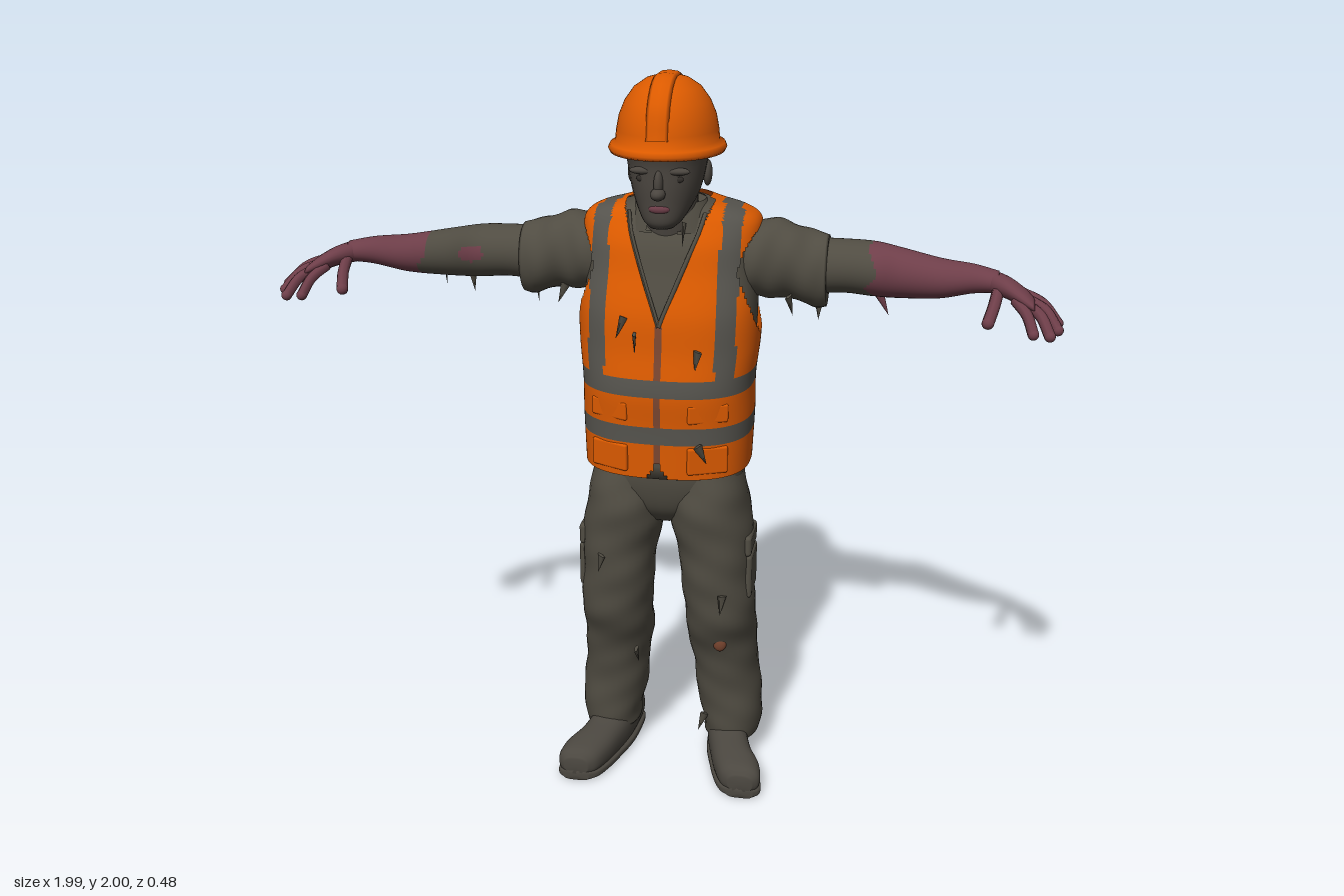
import * as THREE from 'three';
import { mergeGeometries } from 'three/addons/utils/BufferGeometryUtils.js';
import { RoundedBoxGeometry } from 'three/addons/geometries/RoundedBoxGeometry.js';

const V = (x, y, z) => new THREE.Vector3(x, y, z);
const colour = (name, color) => new THREE.MeshStandardMaterial({ name, color, side: THREE.DoubleSide });

// Smooth skin through sections [along, c1, c2, r1, r2].
// Axis y: c1 = x, c2 = z. Axis x: c1 = z, c2 = y. Axis z: c1 = y, c2 = x.
// paint(point) gives a material index for each quad, or -1 to leave it out.
function loft(sections, { axis = 'y', n = 32, rows = 32, power = 2, caps = true, bump, paint } = {}) {
  const centre = new THREE.CatmullRomCurve3(sections.map(s => V(s[0], s[1], s[2])), false, 'catmullrom');
  const radius = new THREE.CatmullRomCurve3(sections.map(s => V(s[3], s[4], 0)), false, 'catmullrom');
  const place = { y: (a, u, v) => V(u, a, v), x: (a, u, v) => V(a, v, u), z: (a, u, v) => V(v, u, a) }[axis];
  const pts = [], faces = [];
  for (let i = 0; i <= rows; i++) {
    const c = centre.getPoint(i / rows), r = radius.getPoint(i / rows);
    for (let j = 0; j < n; j++) {
      const t = (j / n) * Math.PI * 2, co = Math.cos(t), si = Math.sin(t);
      const k = (bump ? bump(c.x, t) : 1) / Math.pow(Math.abs(co) ** power + Math.abs(si) ** power, 1 / power);
      pts.push(place(c.x, c.y + r.x * k * co, c.z + r.y * k * si));
    }
  }
  for (let i = 0; i < rows; i++) for (let j = 0; j < n; j++) {
    const a = i * n + j, b = i * n + (j + 1) % n, c = a + n, d = b + n;
    const m = paint ? paint(pts[a].clone().add(pts[b]).add(pts[c]).add(pts[d]).multiplyScalar(0.25)) : 0;
    if (m >= 0) (faces[m] ??= []).push(a, c, b, b, c, d);
  }
  if (caps) for (const [i, flip] of [[0, 0], [rows, 1]]) {
    const c = centre.getPoint(i / rows), p = pts.push(place(c.x, c.y, c.z)) - 1;
    for (let j = 0; j < n; j++) {
      const a = i * n + j, b = i * n + (j + 1) % n;
      const m = flip ? faces.length - 1 : 0;
      faces[m].push(p, flip ? b : a, flip ? a : b);
    }
  }
  const g = new THREE.BufferGeometry().setFromPoints(pts);
  g.setIndex(faces.flat());
  let start = 0;
  faces.forEach((f, m) => { g.addGroup(start, f.length, m); start += f.length; });
  g.computeVertexNormals();
  return g;
}

// Mirror an indexed geometry across x and keep its faces turned outward.
function mirror(g) {
  g.scale(-1, 1, 1);
  const ix = g.index;
  for (let i = 0; i < ix.count; i += 3) {
    const b = ix.getX(i + 1);
    ix.setX(i + 1, ix.getX(i + 2));
    ix.setX(i + 2, b);
  }
  g.computeVertexNormals();
  return g;
}

const ball = (x, y, z, rx, ry, rz) => new THREE.SphereGeometry(1, 16, 12).scale(rx, ry, rz).translate(x, y, z);
const tube = (points, r) => new THREE.TubeGeometry(new THREE.CatmullRomCurve3(points), 16, r, 8);
const finger = (points, r) => {
  const tip = points[points.length - 1];
  return mergeGeometries([tube(points, r), ball(tip.x, tip.y, tip.z, r, r, r)]);
};

export function createModel() {
  const model = new THREE.Group();
  model.name = 'worker';
  const orange = colour('safetyOrange', 0xdb5a00), tape = colour('greyTape', 0x55534d);
  const cloth = colour('workCloth', 0x504c42), skin = colour('greySkin', 0x4a453f);
  const flesh = colour('rawFlesh', 0x6e3e49), boot = colour('bootLeather', 0x4b4740);
  const trim = colour('rustyTrim', 0x7a4630), dark = colour('darkSocket', 0x332f2b);
  const add = (name, geo, mat) => {
    const mesh = new THREE.Mesh(geo, mat);
    mesh.name = name;
    model.add(mesh);
  };

  // Torso: shirt inside, open vest outside
  const torso = [[0.965, 0, -0.03, 0.225, 0.187], [1.1, 0, -0.035, 0.23, 0.192], [1.2, 0, -0.035, 0.23, 0.196],
    [1.3, 0, -0.045, 0.24, 0.188], [1.4, 0, -0.055, 0.243, 0.184], [1.5, 0, -0.075, 0.238, 0.168],
    [1.57, 0, -0.08, 0.236, 0.15], [1.62, 0, -0.085, 0.232, 0.125], [1.645, 0, -0.085, 0.2, 0.108],
    [1.662, 0, -0.085, 0.14, 0.096], [1.675, 0, -0.085, 0.1, 0.085]];
  add('shirt', loft(torso.map(([y, x, z, a, b]) => [y - 0.006, x, z, a - 0.013, b - 0.013]), { n: 48, rows: 40, power: 2.6 }), cloth);
  const vestPaint = ({ x, y, z }) => {
    const ax = Math.abs(x), front = z > -0.06;
    if (front && y > 1.38 && ax < (y - 1.38) * 0.4) return -1;
    if (front && y < 1.01 && ax < (1.01 - y) * 0.6) return -1;
    if (ax > 0.15 && ((z + 0.07) / 0.12) ** 2 + ((y - 1.465) / 0.14) ** 2 < 1) return -1;
    if ((y > 1.19 && y < 1.24) || (y > 1.06 && y < 1.11)) return 1;
    const inner = front ? 0.145 : 0.118 + 0.035 * (y - 1.24);
    if (y > 1.24 && ax > inner && ax < inner + 0.05) return 1;
    return front && y < 1.38 && ax < 0.009 ? 2 : 0;
  };
  add('vest', loft(torso, { n: 160, rows: 130, power: 2.6, caps: false, paint: vestPaint }), [orange, tape, trim]);

  // Trouser seat
  add('trouserSeat', loft([[0.8, 0, -0.02, 0.07, 0.08], [0.85, 0, -0.02, 0.15, 0.118],
    [0.92, 0, -0.025, 0.205, 0.142], [1.0, 0, -0.03, 0.205, 0.15]], { power: 2.4, rows: 16 }), cloth);

  // Head and neck
  add('neck', loft([[1.55, 0, -0.05, 0.085, 0.085], [1.65, 0, -0.028, 0.075, 0.078], [1.74, 0, -0.02, 0.075, 0.08]]), skin);
  add('head', loft([[1.625, 0, 0.08, 0.03, 0.03], [1.645, 0, 0.064, 0.052, 0.058], [1.69, 0, 0.022, 0.078, 0.103],
    [1.73, 0, 0.008, 0.091, 0.119], [1.78, 0, 0, 0.101, 0.127], [1.83, 0, 0, 0.108, 0.133], [1.88, 0, 0, 0.09, 0.11]],
  { power: 2.1 }), skin);
  add('nose', mergeGeometries([ball(0, 1.718, 0.134, 0.019, 0.016, 0.024), ball(0, 1.742, 0.126, 0.012, 0.034, 0.018)]), skin);
  add('mouth', ball(0, 1.678, 0.116, 0.028, 0.013, 0.012), flesh);
  add('shirtCollar', loft([[1.6, 0, -0.06, 0.13, 0.115], [1.64, 0, -0.06, 0.108, 0.102], [1.672, 0, -0.06, 0.09, 0.088]],
    { n: 48, rows: 12, caps: false, paint: p => (p.z > 0 && Math.abs(p.x) < 0.04 ? -1 : 0) }), cloth);

  // Hard hat
  const hat = [[0.13, 1.812], [0.168, 1.805], [0.174, 1.815], [0.168, 1.826], [0.153, 1.834], [0.15, 1.86], [0.142, 1.895],
    [0.125, 1.93], [0.098, 1.962], [0.062, 1.983], [0.03, 1.991], [0, 1.993]].map(p => new THREE.Vector2(...p));
  add('hardHat', new THREE.LatheGeometry(hat, 48).scale(0.86, 1, 1), orange);
  const ridge = [[1.85, 0.147], [1.92, 0.128], [1.965, 0.09], [1.988, 0.04], [1.99, 0], [1.988, -0.04],
    [1.965, -0.09], [1.92, -0.128], [1.85, -0.147]].map(([y, z]) => V(0, y, z));
  add('hatRidge', tube(ridge, 0.009).scale(3.2, 1, 1), orange);

  for (const [side, s] of [['left', 1], ['right', -1]]) {
    const put = (name, geo, mat) => add(side + name, s < 0 ? mirror(geo) : geo, mat);

    // Face details
    put('Ear', ball(0.098, 1.745, -0.03, 0.012, 0.034, 0.02), skin);
    put('Brow', ball(0.043, 1.772, 0.11, 0.034, 0.01, 0.014), skin);
    put('EyeSocket', ball(0.04, 1.752, 0.107, 0.02, 0.01, 0.007), dark);

    // Vest edging and pockets
    put('NeckTrim', tube([V(0, 1.375, 0.133), V(0.05, 1.505, 0.092), V(0.087, 1.6, 0.047), V(0.1, 1.648, 0.01)], 0.006), cloth);
    for (const [name, y, h, d] of [['PocketFlap', 1.148, 0.05, 0.016], ['Pocket', 1.018, 0.075, 0.018]])
      add(side + name, new RoundedBoxGeometry(0.11, h, d, 2, 0.006).rotateY(s * 0.41).translate(s * 0.13, y, 0.131), orange);

    // Sleeve, arm and hand
    const fold = (a, t) => 1 + 0.025 * Math.sin(a * 60 + 2 * t) + 0.015 * Math.sin(a * 90 - 3 * t);
    put('Sleeve', loft([[0.14, -0.08, 1.5, 0.08, 0.08], [0.2, -0.08, 1.51, 0.092, 0.095], [0.25, -0.09, 1.515, 0.095, 0.105],
      [0.31, -0.1, 1.508, 0.09, 0.1], [0.37, -0.1, 1.49, 0.085, 0.1], [0.41, -0.1, 1.484, 0.08, 0.094]],
    { axis: 'x', bump: fold }), cloth);
    const edge = s > 0 ? 0.525 : 0.66;
    const armPaint = ({ x, y, z }) => {
      const wound = s < 0 && z > -0.09 && ((x - 0.54) / 0.03) ** 2 + ((y - 1.505) / 0.022) ** 2 < 1;
      return wound || x > edge + 0.015 * Math.sin(60 * y + 30 * z) ? 1 : 0;
    };
    put('Arm', loft([[0.35, -0.1, 1.495, 0.075, 0.075], [0.45, -0.1, 1.5, 0.075, 0.07], [0.53, -0.095, 1.497, 0.076, 0.071],
      [0.6, -0.055, 1.5, 0.073, 0.064], [0.7, 0.005, 1.507, 0.06, 0.05], [0.78, 0.05, 1.522, 0.045, 0.036],
      [0.84, 0.08, 1.525, 0.038, 0.026]],
    { axis: 'x', n: 48, rows: 60, paint: armPaint }), [cloth, flesh]);
    put('Palm', loft([[0.81, 0.065, 1.525, 0.035, 0.028], [0.86, 0.1, 1.518, 0.05, 0.026], [0.9, 0.127, 1.502, 0.052, 0.022],
      [0.925, 0.145, 1.49, 0.045, 0.014]], { axis: 'x', n: 20, rows: 12 }), flesh);
    [[V(0.89, 1.507, 0.088), V(0.945, 1.49, 0.125), V(0.983, 1.452, 0.163)],
      [V(0.9, 1.5, 0.12), V(0.95, 1.482, 0.155), V(0.983, 1.442, 0.19)],
      [V(0.9, 1.495, 0.145), V(0.94, 1.475, 0.19), V(0.963, 1.437, 0.228)],
      [V(0.88, 1.5, 0.15), V(0.908, 1.475, 0.19), V(0.925, 1.437, 0.22)],
      [V(0.84, 1.512, 0.105), V(0.83, 1.485, 0.165), V(0.818, 1.455, 0.205)]]
      .forEach((p, i) => put(i < 4 ? 'Finger' + (i + 1) : 'Thumb', finger(p, i < 4 ? 0.0135 : 0.015), flesh));

    // Trouser leg with folds
    const crease = (a, t) => 1 + 0.015 * Math.sin(a * 35 + 2 * t) + 0.012 * Math.sin(a * 60 - 3 * t);
    put('TrouserLeg', loft([[0.08, 0.18, -0.09, 0.08, 0.1], [0.12, 0.182, -0.09, 0.086, 0.108], [0.2, 0.172, -0.085, 0.093, 0.108],
      [0.3, 0.163, -0.078, 0.093, 0.108], [0.4, 0.152, -0.06, 0.097, 0.115], [0.5, 0.15, -0.025, 0.1, 0.12],
      [0.6, 0.143, -0.01, 0.1, 0.12], [0.7, 0.135, -0.01, 0.104, 0.125], [0.8, 0.122, -0.015, 0.111, 0.14],
      [0.88, 0.11, -0.02, 0.108, 0.143], [0.96, 0.1, -0.025, 0.1, 0.13]], { rows: 70, power: 2.2, bump: crease }), cloth);
    for (const [name, x, y, h, w] of [['CargoPocket', 0.232, 0.64, 0.13, 0.12], ['CargoFlap', 0.23, 0.735, 0.06, 0.13]])
      add(side + name, new RoundedBoxGeometry(0.025, h, w, 2, 0.01).translate(s * x, y, -0.01), cloth);

    // Boot and sole
    const shoe = [[-0.2, 0.05, 0.15, 0.035, 0.03], [-0.17, 0.065, 0.155, 0.06, 0.05], [-0.05, 0.07, 0.17, 0.065, 0.058],
      [0.04, 0.06, 0.195, 0.056, 0.06], [0.1, 0.055, 0.22, 0.05, 0.066], [0.15, 0.05, 0.236, 0.042, 0.058],
      [0.172, 0.045, 0.24, 0.025, 0.034]];
    put('Boot', loft(shoe, { axis: 'z', power: 2.6 }), boot);
    put('Sole', loft(shoe.map(([z, , x, , r]) => [z, 0.015, x, 0.015, r + 0.002]), { axis: 'z', power: 4 }), boot);
  }

  // Rusty patch on the left knee
  add('kneePatch', ball(0.16, 0.435, 0.06, 0.02, 0.028, 0.012), trim);

  // Torn scraps of cloth hanging from sleeves, vest and trousers
  [[0.39, 1.385, -0.08], [0.32, 1.4, -0.04], [-0.38, 1.385, -0.1], [-0.3, 1.4, -0.05], [-0.55, 1.42, -0.06], [-0.62, 1.44, -0.04],
    [0.56, 1.405, -0.08], [-0.1, 1.37, 0.137], [-0.06, 1.33, 0.145], [0.1, 1.29, 0.142], [0.12, 1.04, 0.155], [0.05, 1.6, 0.055],
    [-0.17, 0.68, 0.118], [0.17, 0.58, 0.115], [-0.08, 0.36, 0.045], [-0.24, 0.13, -0.06], [0.1, 0.13, 0]]
    .forEach(([x, y, z], i) => add('tornScrap' + (i + 1), new THREE.ConeGeometry(0.014, 0.06, 5).rotateX(Math.PI)
      .scale(1, 1, 0.4).rotateZ(0.5 * Math.sin(i * 2.4)).rotateY(i).translate(x, y, z), i === 6 ? flesh : cloth));

  return model;
}
